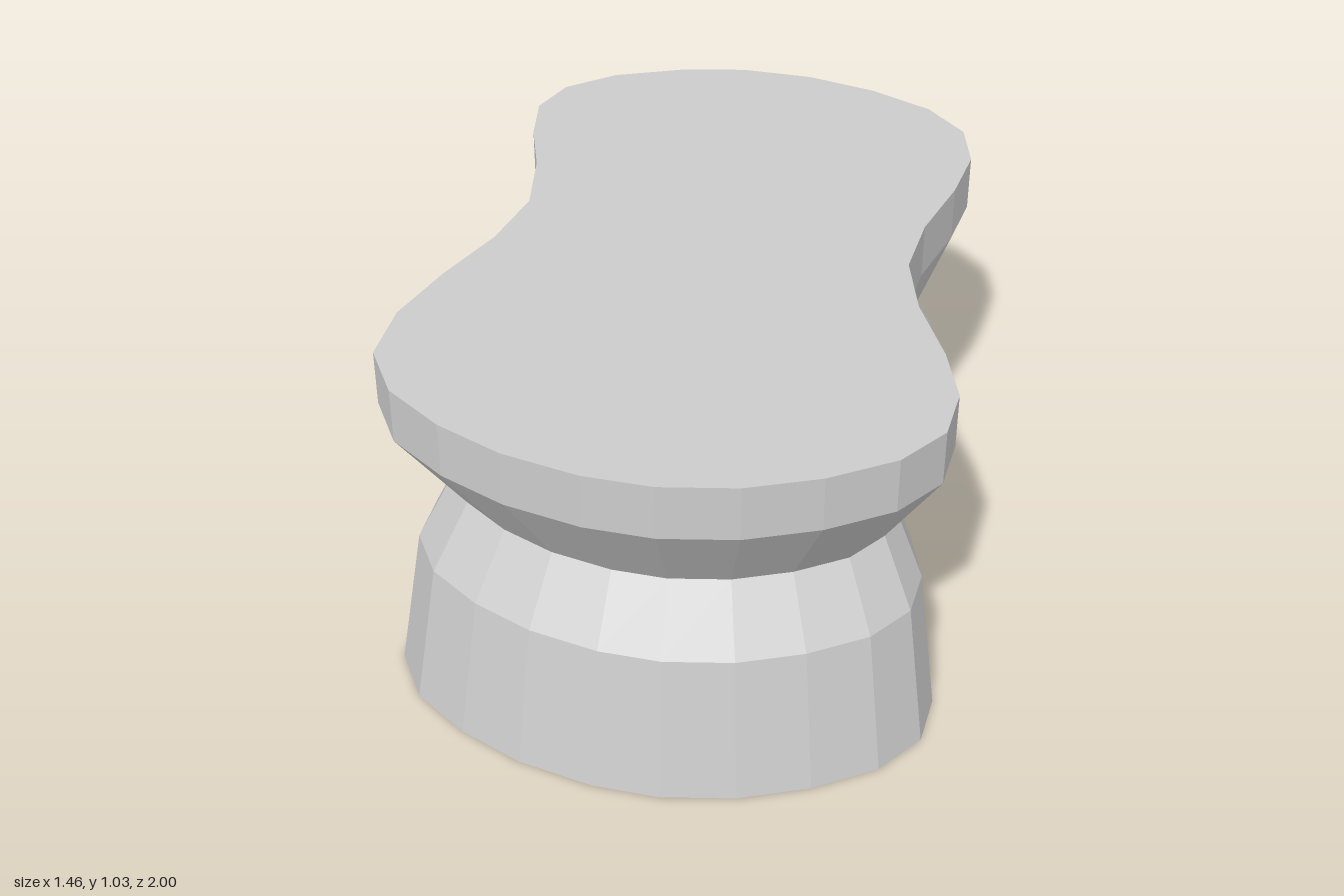
import * as THREE from 'three';

// Plan outline as [x, z], running from the back round by +x to the front
const OUTLINE = [
  [0.04, -1], [0.24, -0.98], [0.43, -0.92], [0.60, -0.83], [0.705, -0.71], [0.73, -0.56],
  [0.69, -0.39], [0.615, -0.19], [0.58, 0], [0.615, 0.19], [0.69, 0.39], [0.73, 0.56],
  [0.705, 0.71], [0.60, 0.83], [0.43, 0.92], [0.24, 0.98], [0.04, 1], [-0.14, 0.98],
  [-0.34, 0.92], [-0.51, 0.83], [-0.655, 0.71], [-0.73, 0.56], [-0.71, 0.38], [-0.63, 0.19],
  [-0.53, 0], [-0.47, -0.19], [-0.485, -0.39], [-0.525, -0.56], [-0.535, -0.71],
  [-0.475, -0.83], [-0.34, -0.92], [-0.14, -0.98],
];
const CENTRE_X = 0.04;

// Stacks scaled copies of the outline; profile is [scale, height] from bottom to top
function loft(name, profile, material) {
  const positions = [];
  const point = ([scale, y], i) => {
    const [x, z] = OUTLINE[i % OUTLINE.length];
    return [CENTRE_X + (x - CENTRE_X) * scale, y, z * scale];
  };
  for (let k = 0; k < profile.length - 1; k++) {
    const low = profile[k], high = profile[k + 1];
    for (let i = 0; i < OUTLINE.length; i++) {
      if (low[0] > 0) positions.push(...point(low, i), ...point(high, i), ...point(low, i + 1));
      if (high[0] > 0) positions.push(...point(low, i + 1), ...point(high, i), ...point(high, i + 1));
    }
  }
  const geometry = new THREE.BufferGeometry();
  geometry.setAttribute('position', new THREE.Float32BufferAttribute(positions, 3));
  geometry.computeVertexNormals();
  const mesh = new THREE.Mesh(geometry, material);
  mesh.name = name;
  return mesh;
}

export function createModel() {
  const group = new THREE.Group();
  group.name = 'waistedPedestal';
  const material = new THREE.MeshStandardMaterial({ color: 0xcccccc, flatShading: true });

  // Flared foot, closed underneath and narrowing to the waist
  group.add(loft('base', [[0, 0], [1, 0], [0.92, 0.405], [0.8, 0.578]], material));

  // Upper body widening from the waist to an upright rim and flat top
  group.add(loft('top', [[0.8, 0.578], [1, 0.878], [1, 1.035], [0, 1.035]], material));

  return group;
}
